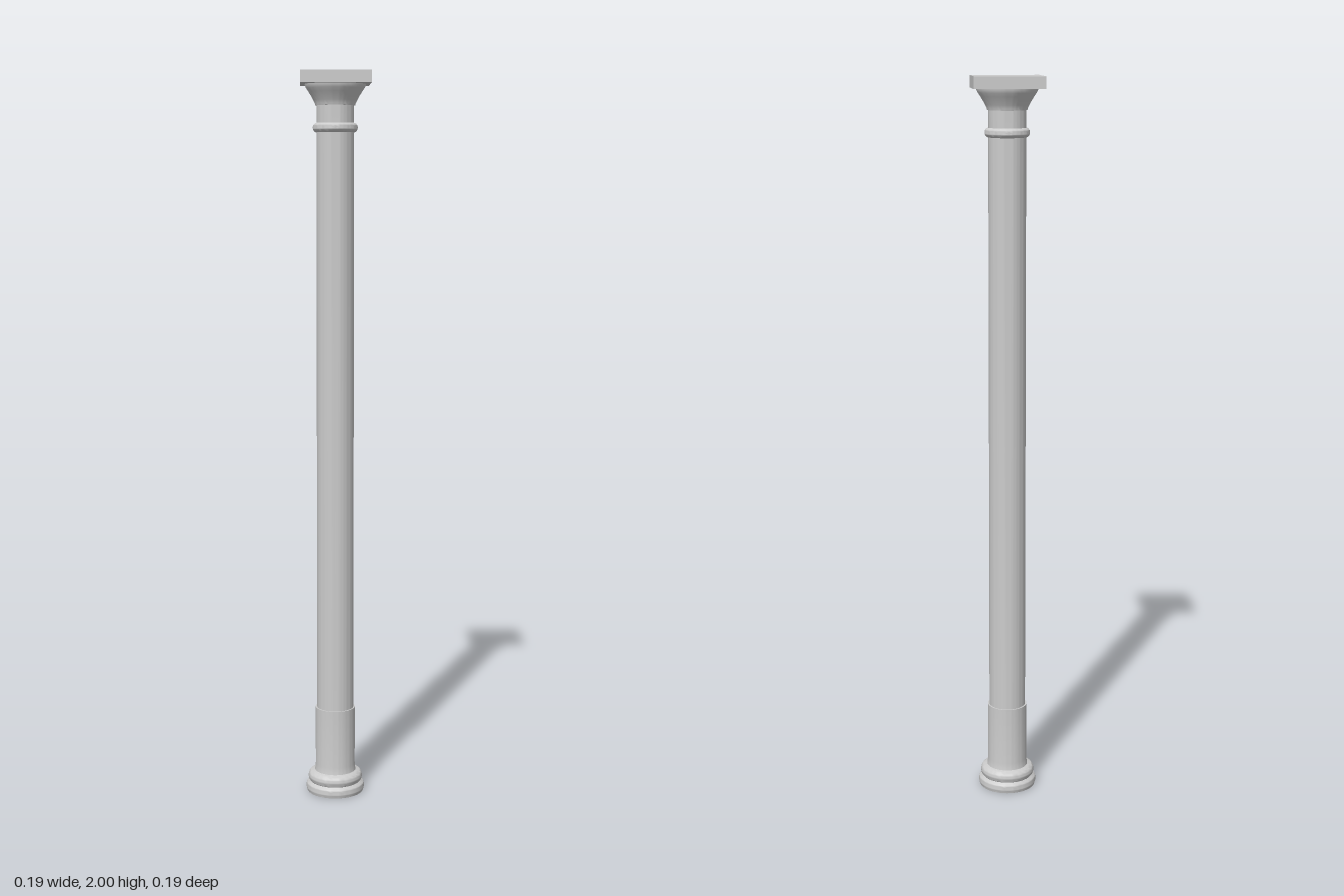
import * as THREE from 'three';
import { toCreasedNormals } from 'three/addons/utils/BufferGeometryUtils.js';

const material = new THREE.MeshStandardMaterial({ color: 0xcccccc });

function addMesh(group, name, geometry) {
  const mesh = new THREE.Mesh(geometry, material);
  mesh.name = name;
  group.add(mesh);
  return mesh;
}

// Turned part from [radius, height] points, listed bottom to top
function turned(group, name, points) {
  const profile = points.map(([r, y]) => new THREE.Vector2(r, y));
  return addMesh(group, name, toCreasedNormals(new THREE.LatheGeometry(profile, 64), 0.6));
}

// Points along an elliptical arc, angles in degrees from the outward direction
function arc(r, y, rx, ry, from, to, steps = 10) {
  return Array.from({ length: steps + 1 }, (_, i) => {
    const a = THREE.MathUtils.degToRad(from + ((to - from) * i) / steps);
    return [r + rx * Math.cos(a), y + ry * Math.sin(a)];
  });
}

export function createModel() {
  const column = new THREE.Group();
  column.name = 'column';

  // Round base: low plinth disc, then a rounded moulding
  turned(column, 'base', [
    [0, 0], [0.079, 0],
    ...arc(0.075, 0.013, 0.007, 0.013, -55, 60, 8),
    [0.075, 0.026],
    ...arc(0.062, 0.042, 0.014, 0.017, -50, 90),
    [0.054, 0.062],
  ]);

  // Shaft: thicker foot with a small step, then a plain cylinder
  turned(column, 'shaftFoot', [
    [0.059, 0.055], [0.057, 0.065], [0.0555, 0.08], [0.0555, 0.245], [0.05, 0.245],
  ]);
  turned(column, 'shaft', [[0.0515, 0.24], [0.0505, 1.845]]);

  // Neck ring and neck
  turned(column, 'neckRing', [
    [0.049, 1.84],
    ...arc(0.05, 1.854, 0.0105, 0.0125, -90, 90, 14),
    [0.048, 1.867],
  ]);
  turned(column, 'neck', [[0.0505, 1.86], [0.0505, 1.915]]);

  // Flared capital under a square slab
  turned(column, 'capital', [
    [0.048, 1.912], [0.0535, 1.912], [0.0545, 1.917],
    [0.059, 1.926], [0.065, 1.937], [0.072, 1.948],
    [0.078, 1.957], [0.0815, 1.964], [0.082, 1.97],
  ]);
  addMesh(column, 'topSlab', new THREE.BoxGeometry(0.187, 0.032, 0.187)).position.y = 1.984;

  return column;
}
